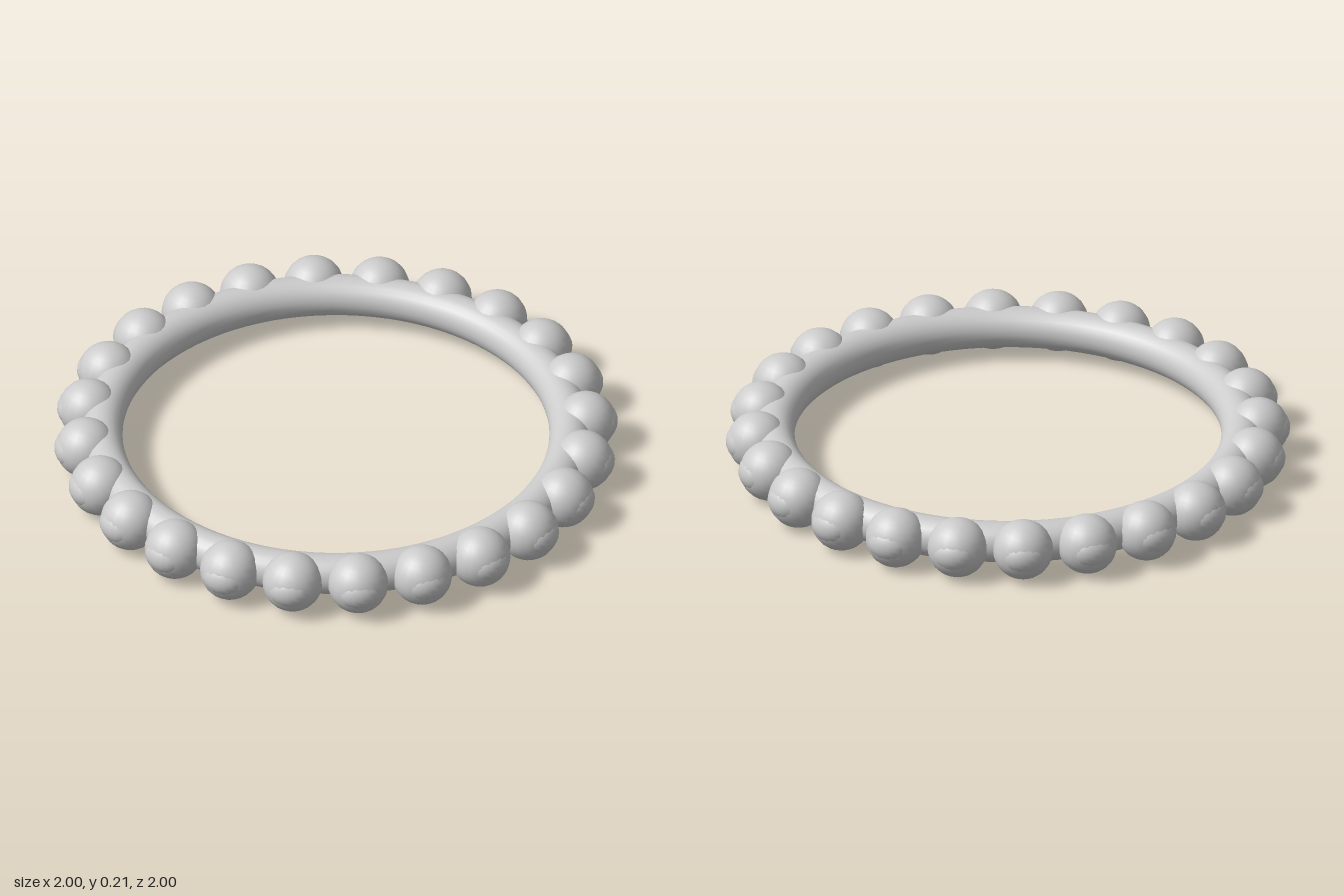
import * as THREE from 'three';

const BEADS = 24;
const BEAD_R = 0.107;
const BEAD_RING = 0.887;

export function createModel() {
  const model = new THREE.Group();
  const material = new THREE.MeshStandardMaterial({ color: 0xcccccc });

  // Round inner band lying flat
  const band = new THREE.Mesh(new THREE.TorusGeometry(0.827, 0.073, 24, 96), material);
  band.name = 'band';
  band.rotation.x = Math.PI / 2;
  band.position.y = BEAD_R;
  model.add(band);

  // Beads set around the outside, each with a faint raised oval on its outer face
  const beadGeometry = new THREE.SphereGeometry(BEAD_R, 20, 16);
  const ovalGeometry = new THREE.SphereGeometry(1, 20, 14).scale(0.08, 0.065, 0.062);
  for (let i = 0; i < BEADS; i++) {
    const angle = (i / BEADS) * Math.PI * 2;
    const bead = new THREE.Group();
    bead.name = `bead${i + 1}`;

    const ball = new THREE.Mesh(beadGeometry, material);
    ball.name = 'beadBall';
    const oval = new THREE.Mesh(ovalGeometry, material);
    oval.name = 'beadOval';
    oval.position.z = 0.05;
    bead.add(ball, oval);

    bead.position.set(Math.sin(angle) * BEAD_RING, BEAD_R, Math.cos(angle) * BEAD_RING);
    bead.rotation.y = angle;
    model.add(bead);
  }
  return model;
}
